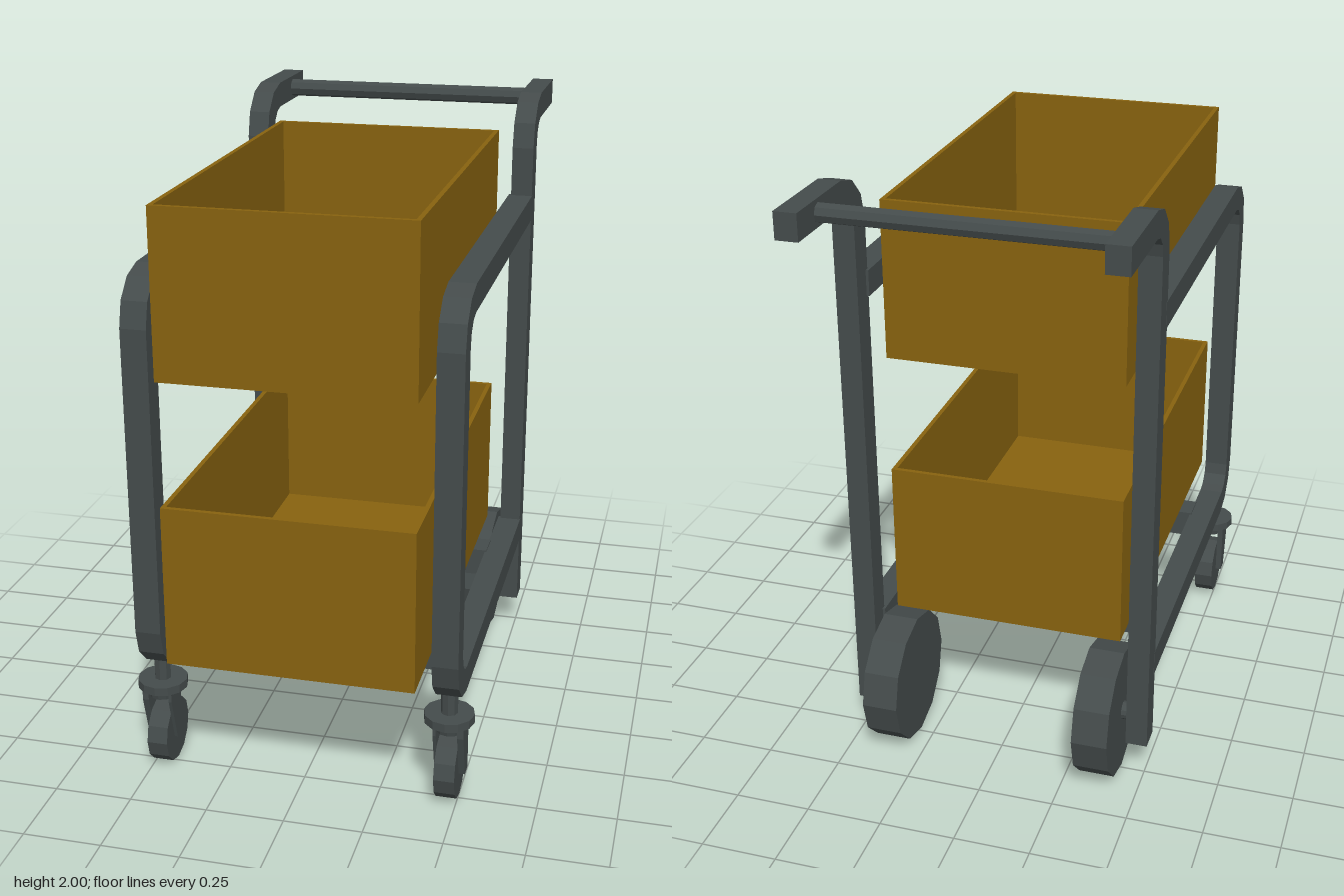
import * as THREE from 'three';

const paint = (name, color) => {
  const m = new THREE.MeshStandardMaterial({ color });
  m.name = name;
  return m;
};

export function createModel() {
  const steel = paint('dark steel', 0x444b4b);
  const wood = paint('ochre wood', 0x87620f);
  const model = new THREE.Group();
  model.name = 'trolley';

  const add = (parent, name, geo, mat, x = 0, y = 0, z = 0) => {
    // unshared vertices give every facet its own normal
    const flat = geo.index ? geo.toNonIndexed() : geo;
    flat.computeVertexNormals();
    const mesh = new THREE.Mesh(flat, mat);
    mesh.name = name;
    mesh.position.set(x, y, z);
    parent.add(mesh);
    return mesh;
  };
  const group = (parent, name) => {
    const g = new THREE.Group();
    g.name = name;
    parent.add(g);
    return g;
  };

  // outline in the z-y plane, extruded across x and centred on x = 0
  const sideProfile = (pts, width) => {
    const shape = new THREE.Shape(pts.map(([z, y]) => new THREE.Vector2(z, y)));
    const geo = new THREE.ExtrudeGeometry(shape, { depth: width, bevelEnabled: false });
    return geo.translate(0, 0, -width / 2).rotateY(-Math.PI / 2);
  };
  // three-segment bend, angles in degrees
  const bend = (z, y, r, from, to) => [0, 1, 2, 3].map((i) => {
    const a = THREE.MathUtils.degToRad(from + (to - from) * i / 3);
    return [z + r * Math.cos(a), y + r * Math.sin(a)];
  });
  // wheel with its axis along x
  const wheel = (r, width) => new THREE.CylinderGeometry(r, r, width, 12).rotateZ(Math.PI / 2);

  const loopOutline = [
    [-0.45, 1.67], ...bend(0.7, 1.51, 0.16, 90, 0), ...bend(0.7, 0.52, 0.16, 0, -90), [-0.45, 0.36],
    [-0.45, 0.445], ...bend(0.7, 0.525, 0.08, -90, 0), ...bend(0.7, 1.505, 0.08, 0, 90), [-0.45, 1.585],
  ];
  const postOutline = [
    [-0.435, 0.12], ...bend(-0.6, 1.835, 0.165, 0, 90), [-0.91, 2],
    [-0.91, 1.915], ...bend(-0.6, 1.835, 0.08, 90, 0), [-0.52, 0.12],
  ];
  const forkOutline = [[0.8, 0.28], [0.8, 0.245], [0.757, 0.095], [0.71, 0.095], [0.71, 0.28]];

  for (const s of [-1, 1]) {
    const side = group(model, s > 0 ? 'leftSide' : 'rightSide');

    // bent side frame and rear post with handle
    add(side, 'sideLoop', sideProfile(loopOutline, 0.082), steel, s * 0.47);
    add(side, 'rearPost', sideProfile(postOutline, 0.072), steel, s * 0.474);

    // large rear wheel
    add(side, 'rearWheel', wheel(0.222, 0.118), steel, s * 0.359, 0.224, -0.482);
    add(side, 'rearAxle', wheel(0.03, 0.06), steel, s * 0.43, 0.224, -0.482);

    // front swivel caster
    const caster = group(side, 'caster');
    add(caster, 'casterStem', new THREE.CylinderGeometry(0.027, 0.027, 0.09, 8), steel, s * 0.468, 0.34, 0.752);
    add(caster, 'casterPlate', new THREE.CylinderGeometry(0.08, 0.08, 0.028, 12), steel, s * 0.468, 0.295, 0.752);
    add(caster, 'casterCollar', new THREE.CylinderGeometry(0.052, 0.045, 0.035, 12), steel, s * 0.47, 0.265, 0.752);
    add(caster, 'casterForkOuter', sideProfile(forkOutline, 0.02), steel, s * 0.512);
    add(caster, 'casterForkInner', sideProfile(forkOutline, 0.01), steel, s * 0.43);
    add(caster, 'casterWheel', wheel(0.104, 0.066), steel, s * 0.468, 0.108, 0.728);
  }

  // cross members under the lower tray, and the push bar
  for (const z of [-0.175, 0.54]) {
    add(model, 'crossBar', new THREE.BoxGeometry(0.87, 0.095, 0.095), steel, 0, 0.4025, z);
  }
  add(model, 'pushBar', new THREE.CylinderGeometry(0.03, 0.03, 0.9, 8).rotateZ(Math.PI / 2), steel, 0, 1.958, -0.768);

  // open trays: floor and four thin walls
  const W = 0.78, H = 0.522, D = 1.345, T = 0.015;
  for (const [name, y] of [['lowerTray', 0.454], ['upperTray', 1.373]]) {
    const tray = group(model, name);
    tray.position.set(0, y, 0.2425);
    add(tray, 'trayFloor', new THREE.BoxGeometry(W, T, D), wood, 0, T / 2, 0);
    for (const s of [-1, 1]) {
      add(tray, 'traySide', new THREE.BoxGeometry(T, H - T, D), wood, s * (W - T) / 2, (H + T) / 2, 0);
      add(tray, 'trayEnd', new THREE.BoxGeometry(W - 2 * T, H - T, T), wood, 0, (H + T) / 2, s * (D - T) / 2);
    }
  }
  return model;
}
